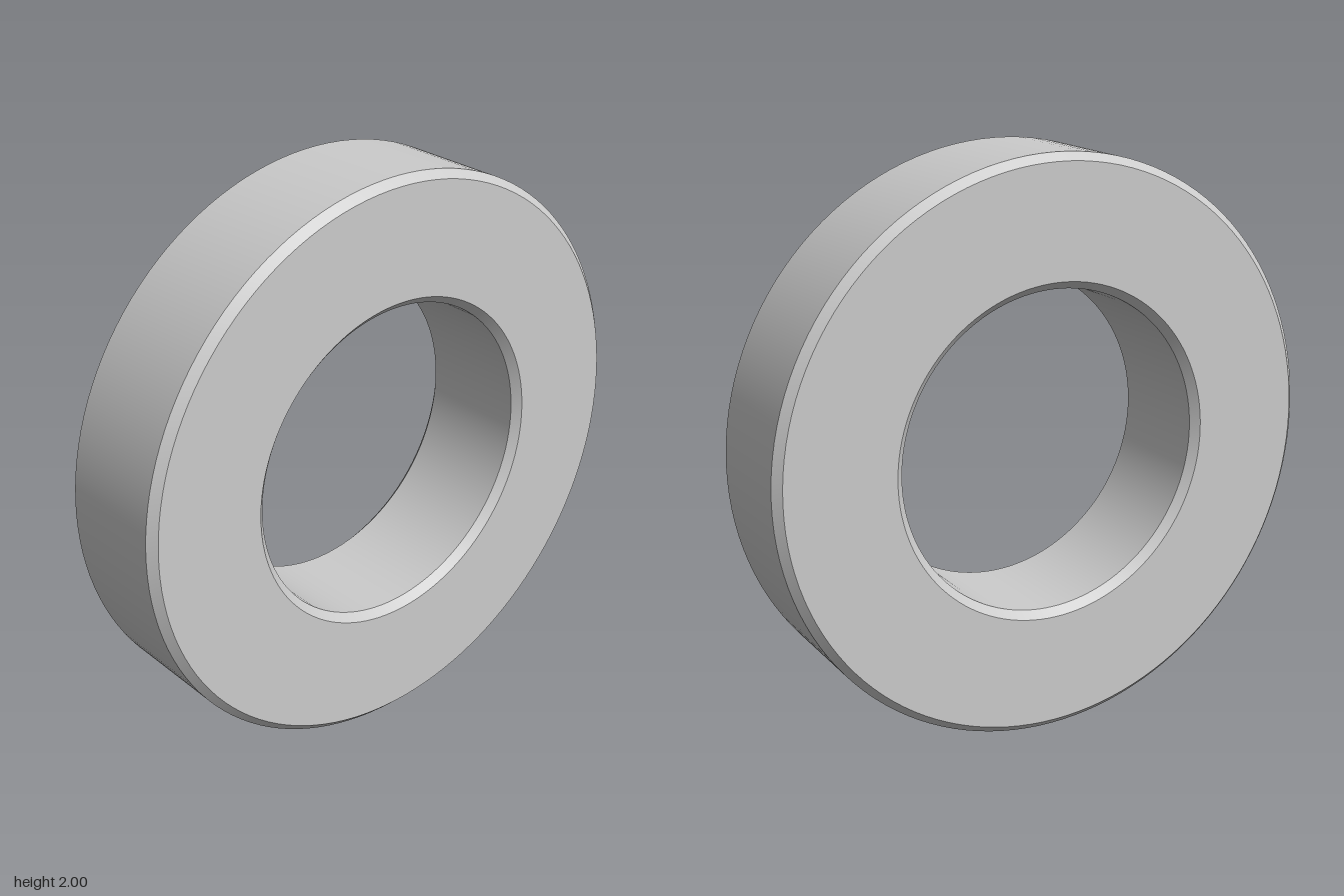
import * as THREE from 'three';
import { toCreasedNormals } from 'three/addons/utils/BufferGeometryUtils.js';

export function createModel() {
  const outer = 1, inner = 0.557, half = 0.222, chamfer = 0.027;

  // Closed ring section: rectangle with all four corners chamfered
  const profile = [
    [outer, -half + chamfer],
    [outer, half - chamfer],
    [outer - chamfer, half],
    [inner + chamfer, half],
    [inner, half - chamfer],
    [inner, -half + chamfer],
    [inner + chamfer, -half],
    [outer - chamfer, -half],
    [outer, -half + chamfer],
  ].map(([r, y]) => new THREE.Vector2(r, y));

  // Smooth round walls with sharp chamfer edges
  const geometry = toCreasedNormals(new THREE.LatheGeometry(profile, 128), Math.PI / 6);

  // Stand the ring upright with its axis along z
  geometry.rotateX(Math.PI / 2);
  geometry.translate(0, outer, 0);

  const ring = new THREE.Mesh(geometry, new THREE.MeshStandardMaterial({ color: 0xcccccc }));
  ring.name = 'chamferedRing';

  const group = new THREE.Group();
  group.name = 'ringSpacer';
  group.add(ring);
  return group;
}
